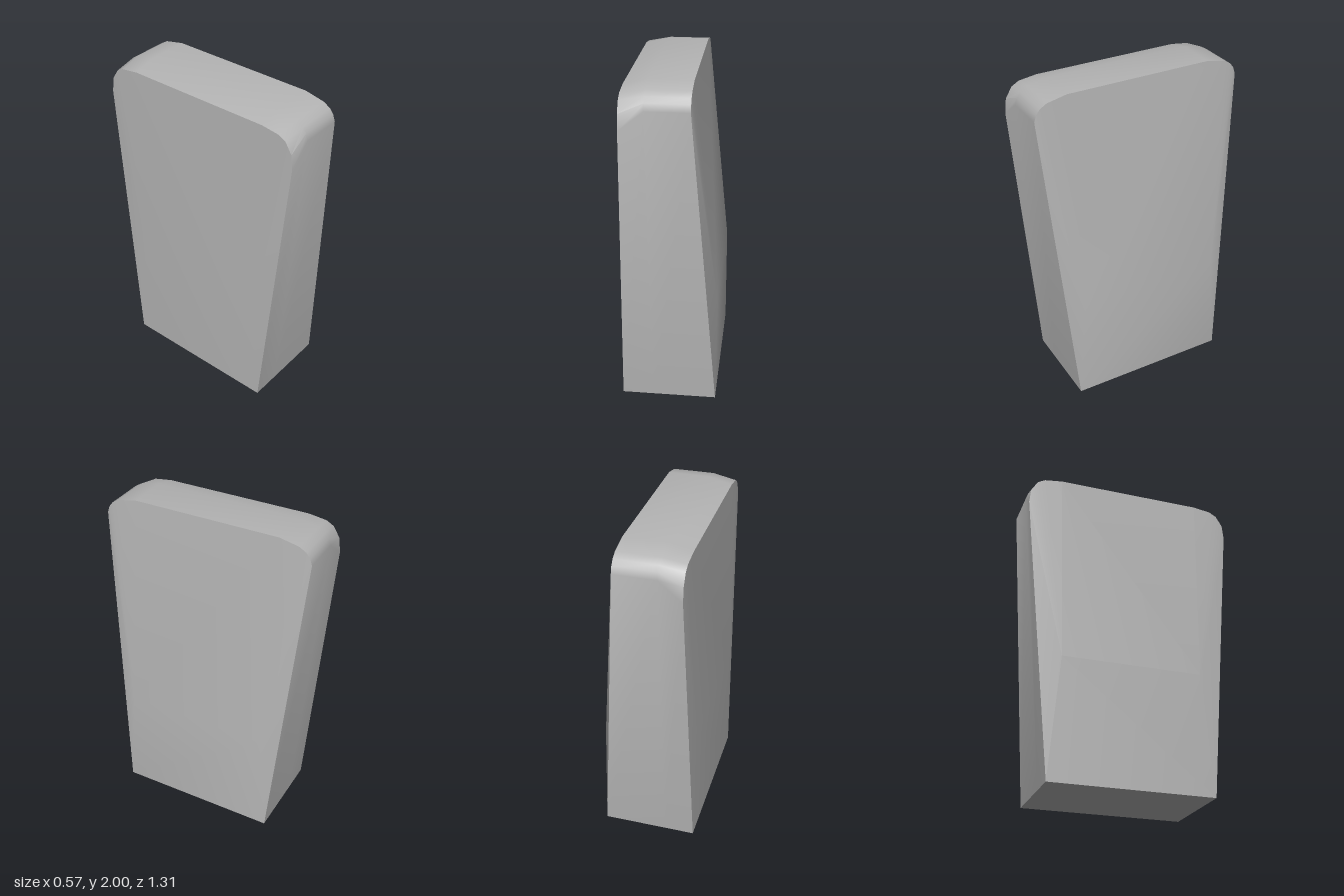
import * as THREE from 'three';
import { toCreasedNormals } from 'three/addons/utils/BufferGeometryUtils.js';

// One half outline (z, y) from foot to crown, mirrored into a full arch.
// x gives the foot, and the rim above it.
function outline(half, footX, rimX) {
  const right = half.map(([z, y], i) => new THREE.Vector3(i ? rimX : footX, y, z));
  const left = right.map(p => new THREE.Vector3(p.x, p.y, -p.z)).reverse();
  return [...right, ...left];
}

export function createModel() {
  const stone = new THREE.MeshStandardMaterial({ color: 0xb4b4b4 });
  stone.name = 'grey stone';

  const back = outline([[0.5, 0], [0.655, 1.77], [0.645, 1.86], [0.605, 1.925], [0.56, 1.95], [0.45, 1.965]], -0.285, -0.25);
  const crown = [[0.5, 0], [0.648, 1.88], [0.635, 1.92], [0.612, 1.95], [0.57, 1.975], [0.45, 2]];
  const middle = outline(crown, -0.1, -0.11);
  const face = outline(crown, 0.285, 0.14);

  const pos = [];
  const tri = (a, b, c) => [a, b, c].forEach(p => pos.push(p.x, p.y, p.z));
  const quad = (a, b, c, d) => { tri(a, b, c); tri(a, c, d); };

  // Narrow sides, rounded crown and base, as strips between the outlines
  [[back, middle], [middle, face]].forEach(([a, b]) => {
    a.forEach((p, i) => {
      const j = (i + 1) % a.length;
      quad(p, b[i], b[j], a[j]);
    });
  });

  // Broad faces: each bends at a kink line and has slim bevels to its edges
  const broadFace = (rim, x, y, z, flip) => {
    const t = flip ? (a, b, c) => tri(a, c, b) : tri;
    const n = rim.length, h = n / 2;
    const kinkA = new THREE.Vector3(x, y, z), kinkB = new THREE.Vector3(x, y, -z);
    for (let i = 0; i < h - 1; i++) {
      t(kinkA, rim[i + 1], rim[i]);
      t(kinkB, rim[h + i + 1], rim[h + i]);
    }
    t(kinkA, kinkB, rim[h]);
    t(kinkA, rim[h], rim[h - 1]);
    t(rim[0], rim[n - 1], kinkB);
    t(rim[0], kinkB, kinkA);
  };
  broadFace(face, 0.285, 0.67, 0.45, false);
  broadFace(back, -0.285, 0.75, 0.43, true);

  const geometry = new THREE.BufferGeometry();
  geometry.setAttribute('position', new THREE.Float32BufferAttribute(pos, 3));
  const slab = new THREE.Mesh(toCreasedNormals(geometry, 0.55), stone);
  slab.name = 'taperedSlab';

  const model = new THREE.Group();
  model.name = 'standingStone';
  model.add(slab);
  return model;
}
